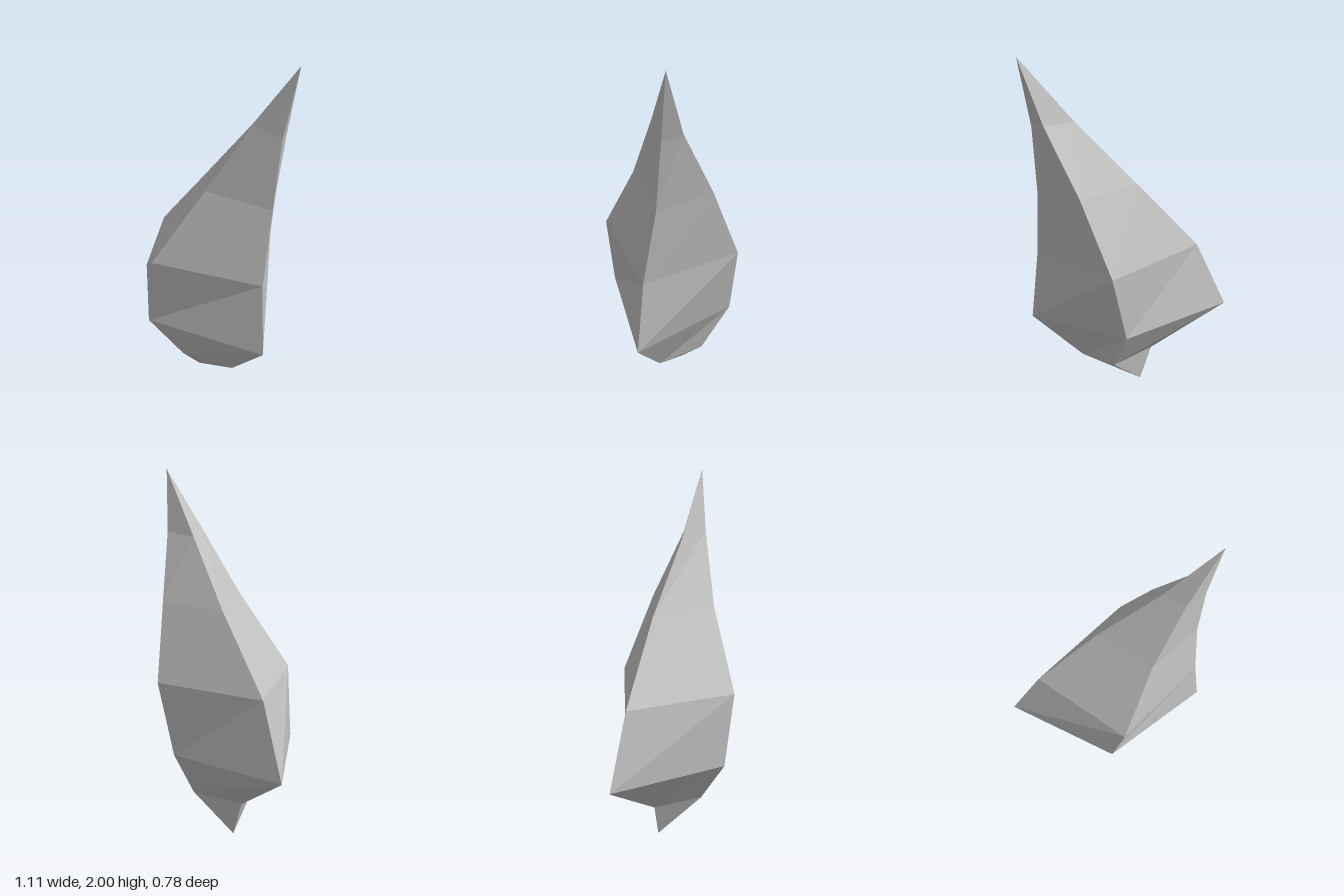
import * as THREE from 'three';

// Four-sided cross-sections from bottom to top; corners: front, +x side, back, -x side
const rings = [
  [[0.06, 0.24, 0.19], [0.27, 0.175, 0.0], [0.10, 0.22, -0.19], [-0.13, 0.20, 0.0]],
  [[0.0, 0.51, 0.375], [0.55, 0.44, 0.02], [0.04, 0.485, -0.33], [-0.555, 0.47, 0.02]],
  [[0.065, 0.91, 0.388], [0.505, 0.84, 0.0], [0.117, 0.885, -0.388], [-0.38, 0.87, 0.0]],
  [[0.22, 1.32, 0.155], [0.485, 1.25, -0.065], [0.27, 1.30, -0.29], [-0.04, 1.28, -0.07]],
  [[0.385, 1.69, -0.01], [0.498, 1.63, -0.10], [0.437, 1.66, -0.19], [0.28, 1.645, -0.10]],
];
const foot = [-0.065, 0.0, -0.02];
const tip = [0.552, 2.0, -0.145];

// Joins the cross-sections with triangles and closes both ends in a point
function shardGeometry() {
  const points = [foot, ...rings.flat(), tip];
  const last = points.length - 1;
  const at = (ring, corner) => 1 + ring * 4 + (corner % 4);
  const index = [];
  for (let i = 0; i < 4; i++) {
    index.push(0, at(0, i + 1), at(0, i));
    for (let r = 0; r < rings.length - 1; r++) {
      const a = at(r, i), b = at(r, i + 1), c = at(r + 1, i + 1), d = at(r + 1, i);
      index.push(a, b, c, a, c, d);
    }
    index.push(at(rings.length - 1, i), at(rings.length - 1, i + 1), last);
  }
  const indexed = new THREE.BufferGeometry();
  indexed.setAttribute('position', new THREE.Float32BufferAttribute(points.flat(), 3));
  indexed.setIndex(index);
  const geometry = indexed.toNonIndexed();
  geometry.computeVertexNormals();
  return geometry;
}

export function createModel() {
  const grey = new THREE.MeshStandardMaterial({ color: 0xc0c0c0 });
  grey.name = 'stone grey';

  // Leaning faceted shard
  const shard = new THREE.Mesh(shardGeometry(), grey);
  shard.name = 'shard';

  const model = new THREE.Group();
  model.name = 'stoneShard';
  model.add(shard);
  return model;
}
